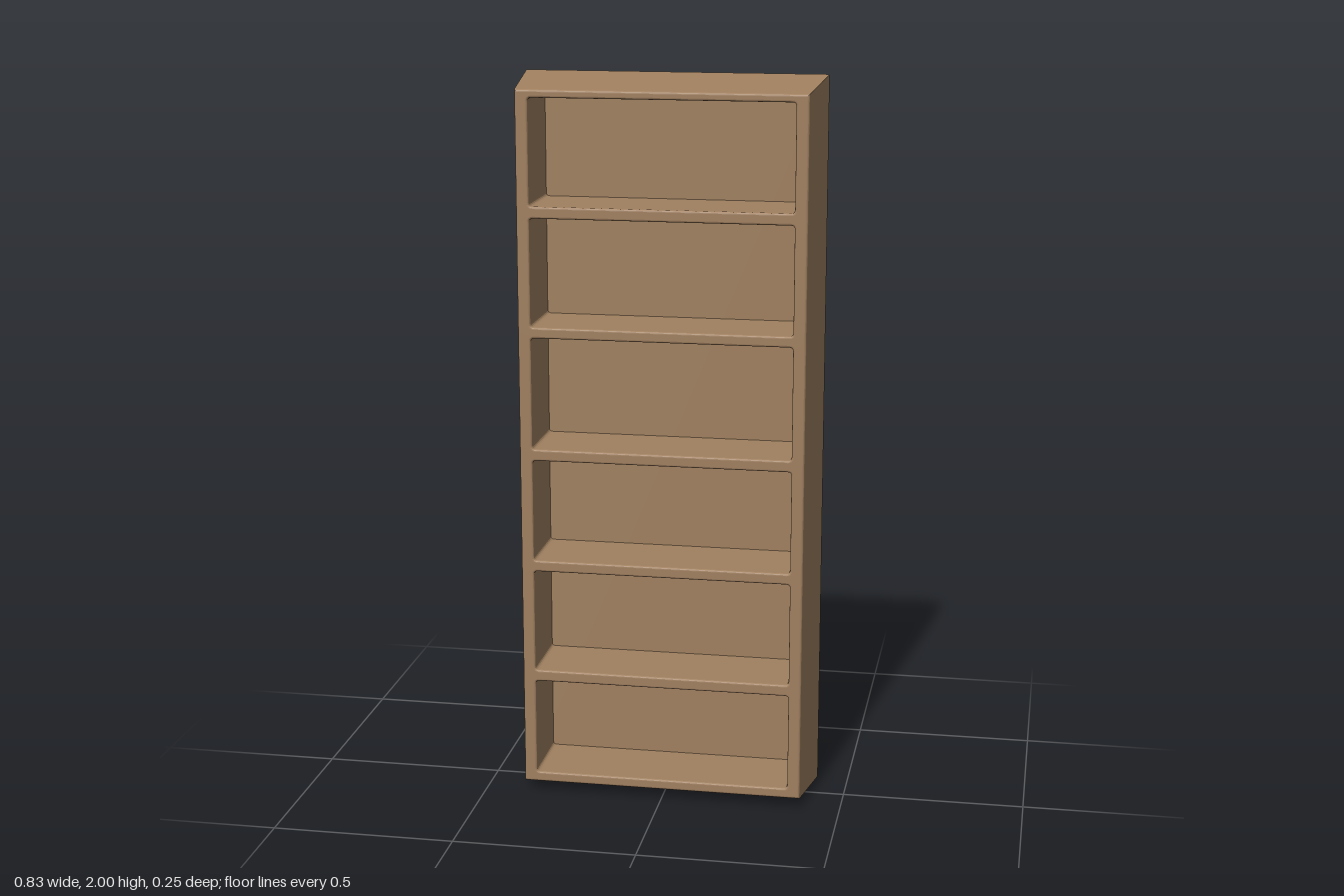
import * as THREE from 'three';

const WIDTH = 0.828, HEIGHT = 2, DEPTH = 0.25, BEVEL = 0.006;
const INNER = 0.361; // half width of the bays

// Bottom and top of each open bay
const BAYS = [
  [0.053, 0.336], [0.356, 0.656], [0.675, 0.971],
  [0.991, 1.311], [1.329, 1.635], [1.655, 1.954],
];

// Rectangle with rounded corners for a bay opening
function roundedRect(x0, y0, x1, y1, r) {
  const p = new THREE.Path();
  p.moveTo(x0 + r, y0);
  p.lineTo(x1 - r, y0);
  p.quadraticCurveTo(x1, y0, x1, y0 + r);
  p.lineTo(x1, y1 - r);
  p.quadraticCurveTo(x1, y1, x1 - r, y1);
  p.lineTo(x0 + r, y1);
  p.quadraticCurveTo(x0, y1, x0, y1 - r);
  p.lineTo(x0, y0 + r);
  p.quadraticCurveTo(x0, y0, x0 + r, y0);
  return p;
}

// One section of the case around a bay, from mid-shelf to mid-shelf
function sectionGeometry(index) {
  const [bottom, top] = BAYS[index];
  const first = index === 0, last = index === BAYS.length - 1;
  const y0 = first ? 0 : (BAYS[index - 1][1] + bottom) / 2;
  const y1 = last ? HEIGHT : (top + BAYS[index + 1][0]) / 2;
  const w = WIDTH / 2;
  const shape = new THREE.Shape([
    new THREE.Vector2(-w, y0), new THREE.Vector2(w, y0),
    new THREE.Vector2(w, y1), new THREE.Vector2(-w, y1),
  ]);
  shape.holes.push(roundedRect(-INNER + BEVEL, bottom + BEVEL, INNER - BEVEL, top - BEVEL, 0.01));
  const geometry = new THREE.ExtrudeGeometry(shape, {
    depth: DEPTH - 2 * BEVEL, curveSegments: 4,
    bevelEnabled: true, bevelThickness: BEVEL, bevelSize: BEVEL,
    bevelOffset: -BEVEL, bevelSegments: 4,
  });
  geometry.translate(0, 0, BEVEL - DEPTH / 2);

  // Outer walls lean in towards the front; joints between sections stay square
  const p = geometry.attributes.position;
  for (let i = 0; i < p.count; i++) {
    const x = p.getX(i), y = p.getY(i);
    if (Math.abs(x) < 0.38) continue;
    const t = p.getZ(i) / DEPTH + 0.5;
    p.setX(i, x - Math.sign(x) * 0.025 * t);
    if (y < (y0 + y1) / 2) p.setY(i, first ? y + 0.031 * t : y0);
    else p.setY(i, last ? y - 0.031 * t : y1);
  }
  geometry.computeVertexNormals();
  return geometry;
}

export function createModel() {
  const group = new THREE.Group();
  group.name = 'bookcase';
  const wood = new THREE.MeshStandardMaterial({ color: 0xa08060 });
  wood.name = 'wood';

  // Walls and shelves
  BAYS.forEach((_, i) => {
    const section = new THREE.Mesh(sectionGeometry(i), wood);
    section.name = `shelfSection${i + 1}`;
    group.add(section);
  });

  // Panel closing the back of every bay
  const panel = new THREE.Mesh(new THREE.BoxGeometry(0.814, 1.986, 0.04), wood);
  panel.name = 'backPanel';
  panel.position.set(0, HEIGHT / 2, 0.0195 - DEPTH / 2);
  group.add(panel);

  return group;
}
